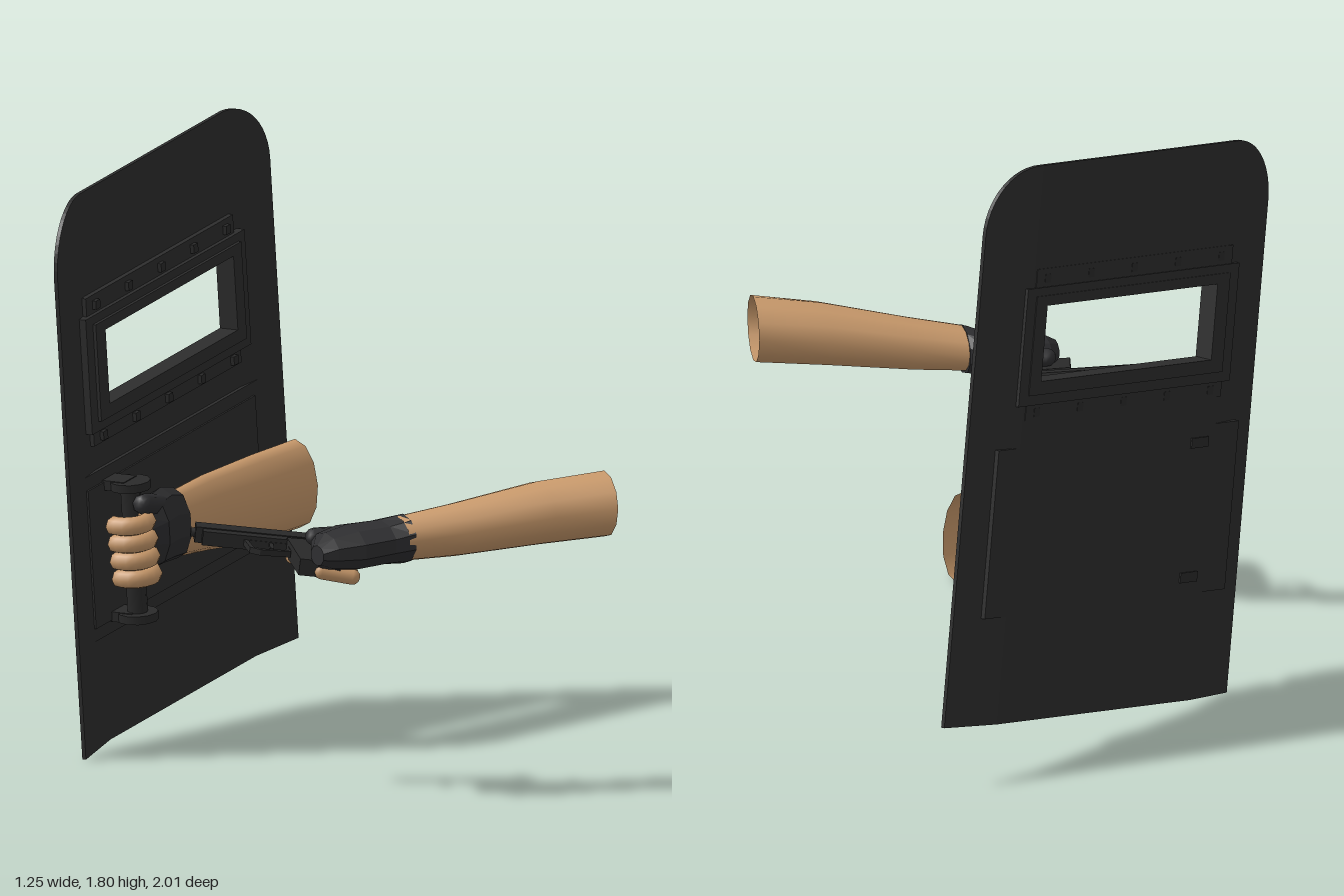
import * as THREE from 'three';

const V = (x, y, z) => new THREE.Vector3(x, y, z);

const mat = (name, color) => {
  const m = new THREE.MeshStandardMaterial({ color });
  m.name = name;
  return m;
};

// Tube of elliptical rings [x, y, z, radiusY, radiusZ], ordered by growing x
function loft(rings, sides, capped, flat) {
  const pos = [], idx = [];
  for (const [x, y, z, ry, rz] of rings) {
    for (let j = 0; j < sides; j++) {
      const a = (j / sides) * Math.PI * 2;
      pos.push(x, y + Math.cos(a) * ry, z + Math.sin(a) * rz);
    }
  }
  for (let i = 0; i < rings.length - 1; i++) {
    for (let j = 0; j < sides; j++) {
      const k = (j + 1) % sides;
      const a = i * sides + j, b = i * sides + k;
      idx.push(a, b, b + sides, a, b + sides, a + sides);
    }
  }
  if (capped) {
    const last = (rings.length - 1) * sides;
    for (let j = 1; j < sides - 1; j++) {
      idx.push(0, j + 1, j, last, last + j, last + j + 1);
    }
  }
  let g = new THREE.BufferGeometry();
  g.setAttribute('position', new THREE.Float32BufferAttribute(pos, 3));
  g.setIndex(idx);
  if (flat) g = g.toNonIndexed();
  g.computeVertexNormals();
  return g;
}

export function createModel() {
  const model = new THREE.Group();
  const shieldMat = mat('shield black', 0x2d2d2d);
  const gearMat = mat('gear black', 0x292929);
  const gloveMat = mat('glove charcoal', 0x2e2e30);
  const skinMat = mat('skin', 0xc8996b);
  skinMat.side = THREE.DoubleSide;

  const add = (parent, name, geo, material) => {
    const m = new THREE.Mesh(geo, material);
    m.name = name;
    parent.add(m);
    return m;
  };
  // Box given by its limits
  const box = (parent, name, x0, x1, y0, y1, z0, z1, material) =>
    add(parent, name, new THREE.BoxGeometry(x1 - x0, y1 - y0, z1 - z0), material)
      .position.set((x0 + x1) / 2, (y0 + y1) / 2, (z0 + z1) / 2);
  // Rounded finger between two points
  const finger = (parent, name, a, b, r, material) => {
    const d = b.clone().sub(a);
    const m = add(parent, name, new THREE.CapsuleGeometry(r, d.length(), 3, 8), material);
    m.position.copy(a).add(b).multiplyScalar(0.5);
    m.quaternion.setFromUnitVectors(V(0, 1, 0), d.normalize());
  };
  // Group whose local axes are x and (roughly) y
  const frameGroup = (name, x, y, origin) => {
    const g = new THREE.Group();
    g.name = name;
    x.normalize();
    const z = x.clone().cross(y).normalize();
    g.quaternion.setFromRotationMatrix(new THREE.Matrix4().makeBasis(x, z.clone().cross(x), z));
    g.position.copy(origin);
    model.add(g);
    return g;
  };

  // ---- Shield: local x across, y up, z toward the bearer ----
  const shield = frameGroup('shield', V(1.07, 0.19, -0.66), V(-0.17, 1.5, 0.14), V(-0.46, 0, -0.34));
  const W = 1.271, H = 1.66, R = 0.2, BEND = 0.03;
  const rect = (P, x0, x1, y0, y1) => {
    const p = new P();
    p.moveTo(x0, y0); p.lineTo(x1, y0); p.lineTo(x1, y1); p.lineTo(x0, y1); p.closePath();
    return p;
  };
  const plate = (name, shape, depth, z, parent = shield, material = shieldMat) => {
    const g = new THREE.ExtrudeGeometry(shape, { depth, bevelEnabled: false, curveSegments: 6 });
    g.translate(0, 0, z);
    return add(parent, name, g, material);
  };
  const middle = rect(THREE.Shape, R, W - R, 0, H);
  middle.holes.push(rect(THREE.Path, 0.245, 1.01, 1.015, 1.24));
  const leftWing = new THREE.Shape();
  leftWing.moveTo(0, 0); leftWing.lineTo(R, 0); leftWing.lineTo(R, H);
  leftWing.absarc(R, H - R, R, Math.PI / 2, Math.PI, false);
  leftWing.closePath();
  const rightWing = new THREE.Shape();
  rightWing.moveTo(W - R, 0); rightWing.lineTo(W, 0); rightWing.lineTo(W, H - R);
  rightWing.absarc(W - R, H - R, R, 0, Math.PI / 2, false);
  rightWing.closePath();
  for (const [name, shape] of [['shieldMiddle', middle], ['shieldWingA', leftWing], ['shieldWingB', rightWing]]) {
    const g = plate(name, shape, 0.012, -0.006).geometry;
    // Bend the outer strips toward the bearer
    const p = g.attributes.position;
    for (let i = 0; i < p.count; i++) {
      const edge = Math.min(p.getX(i), W - p.getX(i));
      p.setZ(i, p.getZ(i) - BEND * Math.min(1, edge / R));
    }
    g.computeVertexNormals();
  }

  // Window frame, bolted strips, lower panel
  const windowFrame = rect(THREE.Shape, 0.15, 1.1, 0.945, 1.295);
  windowFrame.holes.push(rect(THREE.Path, 0.245, 1.01, 1.015, 1.24));
  plate('windowFrame', windowFrame, 0.047, -0.042);
  const innerRim = rect(THREE.Shape, 0.19, 1.06, 0.975, 1.27);
  innerRim.holes.push(rect(THREE.Path, 0.245, 1.01, 1.015, 1.24));
  plate('windowRim', innerRim, 0.06, -0.045);
  for (const [y0, y1, yb] of [[1.295, 1.35, 1.32], [0.9, 0.945, 0.922]]) {
    box(shield, 'windowStrip', 0.18, 1.06, y0, y1, -0.038, -0.008, shieldMat);
    for (let i = 0; i < 5; i++) {
      const x = 0.23 + i * 0.195;
      box(shield, 'bolt', x - 0.013, x + 0.013, yb - 0.013, yb + 0.013, -0.039, 0.004, gearMat);
    }
  }
  box(shield, 'lowerPanel', 0.085, 1.165, 0.32, 0.82, -0.036, -0.012, shieldMat);
  box(shield, 'innerPanel', 0.125, 1.125, 0.36, 0.78, -0.03, -0.006, shieldMat);

  // Handle with end discs and mounts
  const handle = add(shield, 'handle', new THREE.CylinderGeometry(0.03, 0.03, 0.4, 10), gearMat);
  handle.position.set(0.258, 0.57, 0.06);
  for (const y of [0.37, 0.77]) {
    const d = add(shield, 'handleDisc', new THREE.CylinderGeometry(0.06, 0.06, 0.025, 12), gearMat);
    d.position.set(0.258, y, 0.06);
    box(shield, 'handleMount', 0.22, 0.296, y - 0.015, y + 0.015, -0.041, 0.06, gearMat);
  }

  // Arm and hand holding the shield
  add(shield, 'shieldForearm', loft([
    [0.45, 0.592, 0.08, 0.1, 0.05], [0.62, 0.58, 0.092, 0.115, 0.058],
    [0.88, 0.55, 0.112, 0.133, 0.068], [1.11, 0.53, 0.127, 0.135, 0.068],
  ], 12, false, false), skinMat);
  add(shield, 'shieldGlove', loft([
    [0.265, 0.61, 0.085, 0.07, 0.03], [0.31, 0.615, 0.095, 0.11, 0.06],
    [0.39, 0.61, 0.085, 0.115, 0.06], [0.47, 0.592, 0.08, 0.108, 0.056],
  ], 10, true, true), gloveMat);
  finger(shield, 'shieldThumb', V(0.36, 0.68, 0.1), V(0.25, 0.715, 0.105), 0.032, gloveMat);
  [0.5, 0.555, 0.61, 0.665].forEach((y, i) => {
    const g = new THREE.TorusGeometry(0.052, 0.029, 8, 10, Math.PI * 1.15);
    g.rotateX(Math.PI / 2);
    add(shield, 'shieldFinger', g, skinMat).position.set(0.245 - i * 0.006, y, 0.065);
  });

  // ---- Other arm, reaching forward with the pistol ----
  const arm = new THREE.Group();
  arm.name = 'pistolArm';
  model.add(arm);
  const forearm = loft([
    [-0.02, 0.765, 0.75, 0.066, 0.08], [0.15, 0.785, 0.787, 0.078, 0.09],
    [0.4, 0.823, 0.84, 0.093, 0.112], [0.595, 0.842, 0.885, 0.097, 0.118],
  ], 12, false, false);
  // Slant the elbow end
  const fp = forearm.attributes.position;
  for (let i = 36; i < 48; i++) fp.setX(i, fp.getX(i) - (fp.getZ(i) - 0.885) * 0.16);
  forearm.computeVertexNormals();
  add(arm, 'pistolForearm', forearm, skinMat);
  add(arm, 'pistolGlove', loft([
    [-0.285, 0.735, 0.75, 0.03, 0.04], [-0.24, 0.74, 0.715, 0.055, 0.09],
    [-0.16, 0.745, 0.705, 0.068, 0.12], [-0.06, 0.755, 0.72, 0.066, 0.105],
    [0, 0.765, 0.75, 0.073, 0.086],
  ], 10, true, true), gloveMat);
  finger(arm, 'pistolThumb', V(-0.1, 0.77, 0.64), V(-0.21, 0.765, 0.595), 0.027, gloveMat);
  for (let k = 0; k < 3; k++) {
    const p = V(-0.215 - k * 0.018, 0.69 - k * 0.004, 0.62 + k * 0.046);
    finger(arm, 'pistolFinger', p, p.clone().add(V(0.085, -0.018, 0.03)), 0.025, skinMat);
  }
  finger(arm, 'triggerFinger', V(-0.15, 0.71, 0.6), V(-0.25, 0.7, 0.54), 0.022, skinMat);

  // Pistol: local x toward the muzzle, y to the top of the slide
  const gun = frameGroup('pistol', V(-0.9, 0.11, -0.42), V(0.41, 0.15, -0.9), V(-0.1, 0.725, 0.505));
  box(gun, 'slide', 0, 0.405, -0.05, 0, -0.024, 0.024, gearMat);
  box(gun, 'gunFrame', 0.02, 0.385, -0.08, -0.045, -0.021, 0.021, gearMat);
  box(gun, 'rearSight', 0.01, 0.03, 0, 0.01, -0.015, 0.015, gearMat);
  box(gun, 'frontSight', 0.375, 0.395, 0, 0.01, -0.005, 0.005, gearMat);
  box(gun, 'hammer', -0.03, 0.01, -0.035, -0.012, -0.008, 0.008, gearMat);
  const barrel = add(gun, 'barrel', new THREE.CylinderGeometry(0.014, 0.014, 0.02, 10), gearMat);
  barrel.rotation.z = Math.PI / 2;
  barrel.position.set(0.408, -0.028, 0);
  const grip = new THREE.Shape();
  grip.moveTo(0, -0.06); grip.lineTo(0.14, -0.07); grip.lineTo(0.11, -0.27);
  grip.lineTo(-0.01, -0.27); grip.lineTo(0.015, -0.11); grip.closePath();
  plate('grip', grip, 0.05, -0.025, gun, gearMat);
  const guard = new THREE.Shape();
  guard.moveTo(0.13, -0.075); guard.lineTo(0.265, -0.075); guard.lineTo(0.25, -0.15);
  guard.lineTo(0.22, -0.165); guard.lineTo(0.13, -0.155); guard.closePath();
  const gap = new THREE.Path();
  gap.moveTo(0.135, -0.082); gap.lineTo(0.252, -0.082); gap.lineTo(0.239, -0.142);
  gap.lineTo(0.217, -0.153); gap.lineTo(0.135, -0.143); gap.closePath();
  guard.holes.push(gap);
  plate('triggerGuard', guard, 0.018, -0.009, gun, gearMat);
  box(gun, 'trigger', 0.178, 0.19, -0.13, -0.075, -0.006, 0.006, gearMat);

  return model;
}
